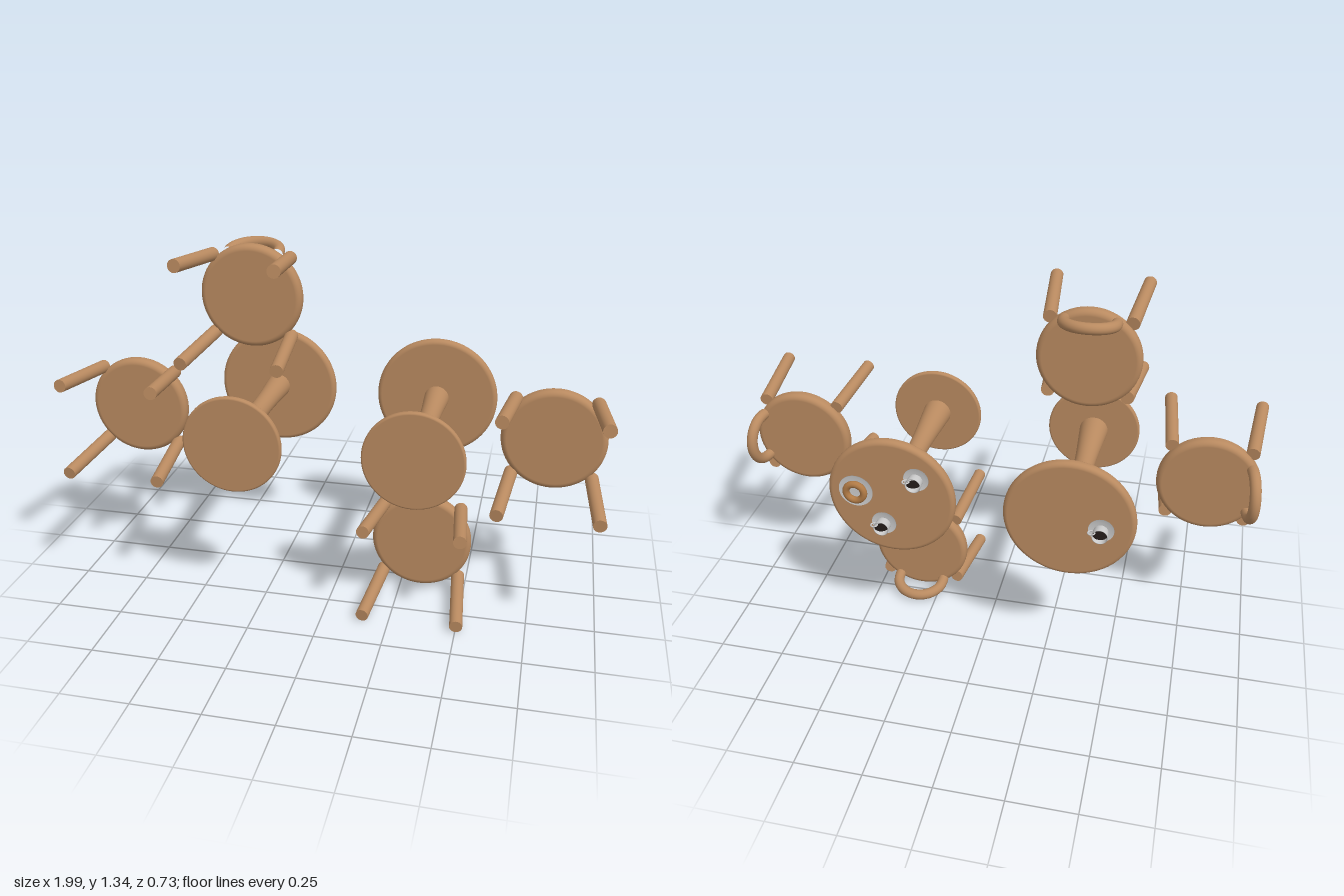
import * as THREE from 'three';

const wood = new THREE.MeshStandardMaterial({ color: 0xb98a60 });
const china = new THREE.MeshStandardMaterial({ color: 0xcccccc, side: THREE.DoubleSide });
const coffee = new THREE.MeshStandardMaterial({ color: 0x1c1614, side: THREE.DoubleSide });
const bun = new THREE.MeshStandardMaterial({ color: 0xb07a45 });

const FLOOR = -0.367;
const V = (x, y, z) => new THREE.Vector3(x, y, z);

function add(parent, name, geometry, material, x = 0, y = 0, z = 0) {
  const mesh = new THREE.Mesh(geometry, material);
  mesh.name = name;
  mesh.position.set(x, y, z);
  parent.add(mesh);
  return mesh;
}

// Round slab with softened rims, from y0 to y1
function disc(radius, y0, y1, round) {
  const pts = [new THREE.Vector2(0, y0)];
  for (let i = 0; i <= 6; i++) {
    const a = -Math.PI / 2 + (i / 6) * (Math.PI / 2);
    pts.push(new THREE.Vector2(radius - round + round * Math.cos(a), y0 + round + round * Math.sin(a)));
  }
  for (let i = 0; i <= 6; i++) {
    const a = (i / 6) * (Math.PI / 2);
    pts.push(new THREE.Vector2(radius - round + round * Math.cos(a), y1 - round + round * Math.sin(a)));
  }
  pts.push(new THREE.Vector2(0, y1));
  return new THREE.LatheGeometry(pts, 64);
}

function createTable(x, z) {
  const table = new THREE.Group();
  table.name = 'table';
  table.position.set(x, 0, z);
  add(table, 'tableTop', disc(0.24, 0.261, 0.303, 0.018), wood);
  add(table, 'tableBase', disc(0.184, FLOOR, -0.343, 0.008), wood);
  // Waisted pedestal
  const outline = new THREE.SplineCurve([
    [0.057, -0.345], [0.05, -0.25], [0.041, -0.12], [0.038, 0], [0.041, 0.12], [0.047, 0.22], [0.049, 0.265],
  ].map(([r, y]) => new THREE.Vector2(r, y)));
  add(table, 'pedestal', new THREE.LatheGeometry(outline.getPoints(24), 40), wood);
  return table;
}

// Stool-like chair with its backrest towards +z, turned by angle
function createChair(x, z, angle) {
  const chair = new THREE.Group();
  chair.name = 'chair';
  chair.position.set(x, 0, z);
  chair.rotation.y = angle;
  add(chair, 'seat', disc(0.192, -0.08, -0.025, 0.022), wood);

  // Four splayed legs
  for (const sx of [-1, 1]) {
    for (const sz of [-1, 1]) {
      const top = V(sx * 0.146, -0.05, sz * 0.146);
      const foot = V(sx * 0.175, FLOOR + 0.003, sz * 0.175);
      const dir = top.clone().sub(foot);
      const leg = add(chair, 'leg', new THREE.CylinderGeometry(0.025, 0.024, dir.length(), 24), wood);
      leg.position.copy(top).add(foot).multiplyScalar(0.5);
      leg.quaternion.setFromUnitVectors(V(0, 1, 0), dir.normalize());
    }
  }

  // Arched backrest, leaning outwards
  const path = [V(-0.093, -0.03, 0), V(-0.093, 0, 0)];
  for (let i = 1; i <= 12; i++) {
    const a = Math.PI * (1 - i / 13);
    path.push(V(0.093 * Math.cos(a), -0.012 + 0.088 * Math.sin(a), 0));
  }
  path[1].y = -0.015;
  path.push(V(0.093, -0.015, 0), V(0.093, -0.03, 0));
  const arch = new THREE.TubeGeometry(new THREE.CatmullRomCurve3(path), 48, 0.021, 16);
  const back = add(chair, 'backrest', arch, wood, 0, 0, 0.157);
  back.rotation.x = 0.18;
  return chair;
}

function createCup(x, z) {
  const cup = new THREE.Group();
  cup.name = 'cupAndSaucer';
  cup.position.set(x, 0.303, z);
  const lathe = (pts) => new THREE.LatheGeometry(pts.map(([r, y]) => new THREE.Vector2(r, y)), 32);
  add(cup, 'saucer', lathe([[0, 0.002], [0.03, 0.002], [0.047, 0.009], [0.046, 0.011], [0.03, 0.005], [0, 0.005]]), china);
  add(cup, 'cup', lathe([[0, 0.007], [0.022, 0.007], [0.027, 0.015], [0.029, 0.05], [0.027, 0.05], [0.025, 0.015], [0, 0.01]]), china);
  add(cup, 'handle', new THREE.TorusGeometry(0.012, 0.003, 10, 24), china, 0.032, 0.03, 0);
  // Upright drink disc standing in the cup
  add(cup, 'drink', new THREE.CircleGeometry(0.026, 32), coffee, 0, 0.038, 0);
  return cup;
}

function createPastry(x, z) {
  const pastry = new THREE.Group();
  pastry.name = 'plateAndPastry';
  pastry.position.set(x, 0.303, z);
  const pts = [[0, 0.002], [0.045, 0.002], [0.065, 0.008], [0.064, 0.01], [0.045, 0.005], [0, 0.005]];
  add(pastry, 'plate', new THREE.LatheGeometry(pts.map(([r, y]) => new THREE.Vector2(r, y)), 40), china);
  const ring = add(pastry, 'ringPastry', new THREE.TorusGeometry(0.034, 0.013, 16, 40), bun, 0, 0.018, 0);
  ring.rotation.x = Math.PI / 2;
  return pastry;
}

export function createModel() {
  const model = new THREE.Group();
  model.name = 'cafeSet';
  const TX = 0.328, Z = 0.672, GAP = 0.47;

  for (const s of [-1, 1]) {
    model.add(createTable(s * TX, Z));
    // One chair at the outer side, one above or below
    model.add(createChair(s * (TX + GAP), Z, s * Math.PI / 2));
    model.add(createChair(s * TX, Z - s * GAP, s > 0 ? Math.PI : 0));
  }

  // Tableware
  model.add(createCup(-0.446, 0.657), createCup(0.225, 0.774), createCup(0.356, 0.565));
  model.add(createPastry(0.457, 0.693));

  // The set lies with its table tops facing the back
  model.rotation.x = -Math.PI / 2;
  const root = new THREE.Group();
  root.name = 'cafeFurniture';
  root.add(model);
  return root;
}
